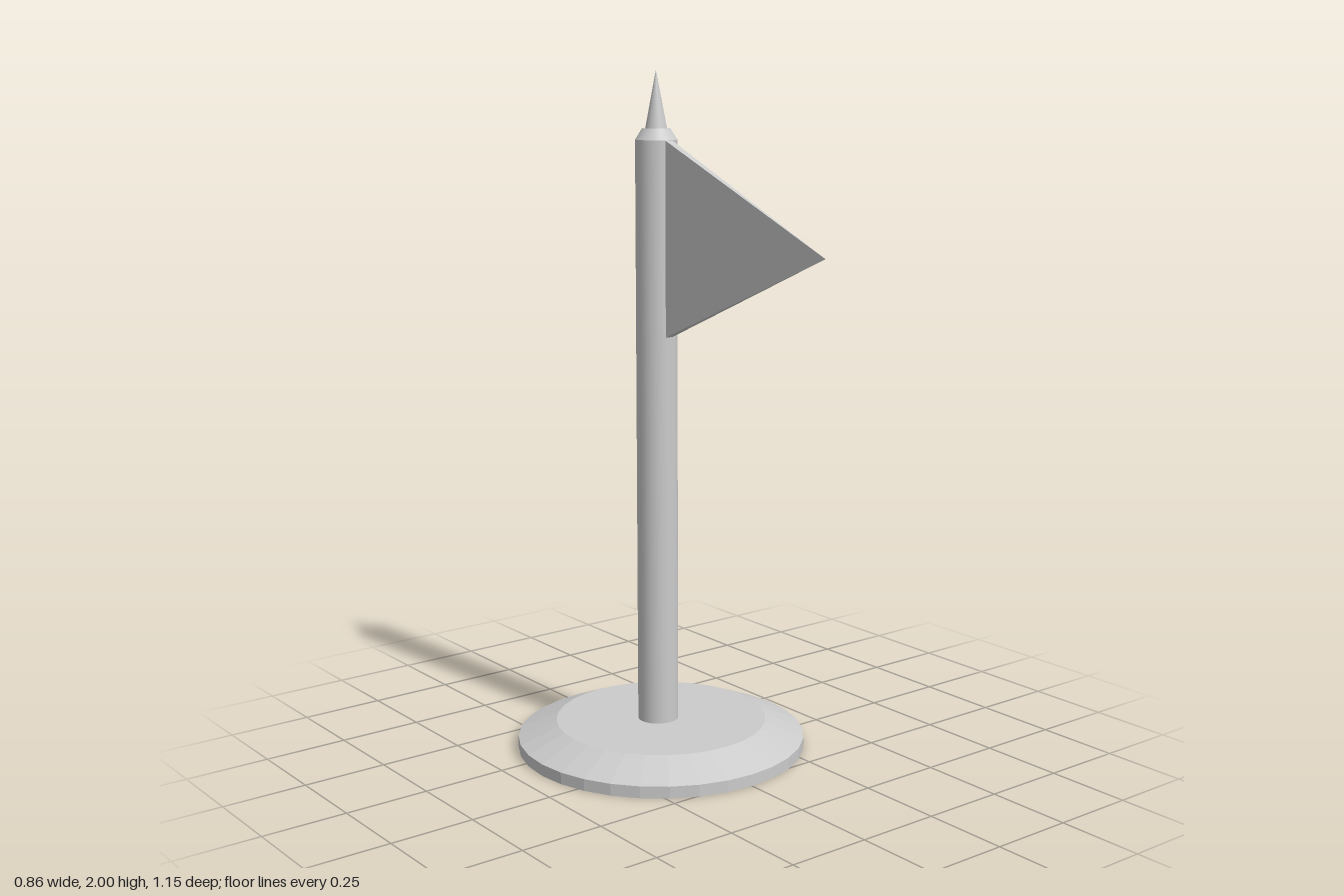
import * as THREE from 'three';
import { ConvexGeometry } from 'three/addons/geometries/ConvexGeometry.js';

export function createModel() {
  const model = new THREE.Group();
  const smooth = new THREE.MeshStandardMaterial({ color: 0xcccccc });
  const faceted = new THREE.MeshStandardMaterial({ color: 0xcccccc, flatShading: true });
  const poleX = -0.008, poleZ = -0.147;

  const add = (name, geometry, material) => {
    const mesh = new THREE.Mesh(geometry, material);
    mesh.name = name;
    model.add(mesh);
    return mesh;
  };
  // Round section between two heights
  const round = (name, rBottom, rTop, y0, y1, x, z, material, open = false) =>
    add(name, new THREE.CylinderGeometry(rTop, rBottom, y1 - y0, 32, 1, open), material)
      .position.set(x, (y0 + y1) / 2, z);

  // Base disc: upright rim with a sloped shoulder and flat top
  const profile = [[0, 0], [0.43, 0], [0.43, 0.035], [0.315, 0.083], [0, 0.083]];
  const base = add('base', new THREE.LatheGeometry(profile.map(p => new THREE.Vector2(...p)), 32), faceted);
  base.position.z = -0.143;

  // Pole with bevelled cap and pointed finial
  round('pole', 0.06, 0.06, 0.07, 1.805, poleX, poleZ, smooth, true);
  round('poleCap', 0.06, 0.04, 1.805, 1.837, poleX, poleZ, smooth);
  round('finial', 0.031, 0, 1.837, 2, poleX, poleZ, smooth);

  // Pennant: a thin wedge, thickest at the pole and narrowing to a point
  const corners = [new THREE.Vector3(poleX, 1.525, 0.573)];
  for (const y of [1.245, 1.805])
    for (const side of [-1, 1]) corners.push(new THREE.Vector3(poleX + side * 0.012, y, -0.09));
  add('pennant', new ConvexGeometry(corners), faceted);

  return model;
}
